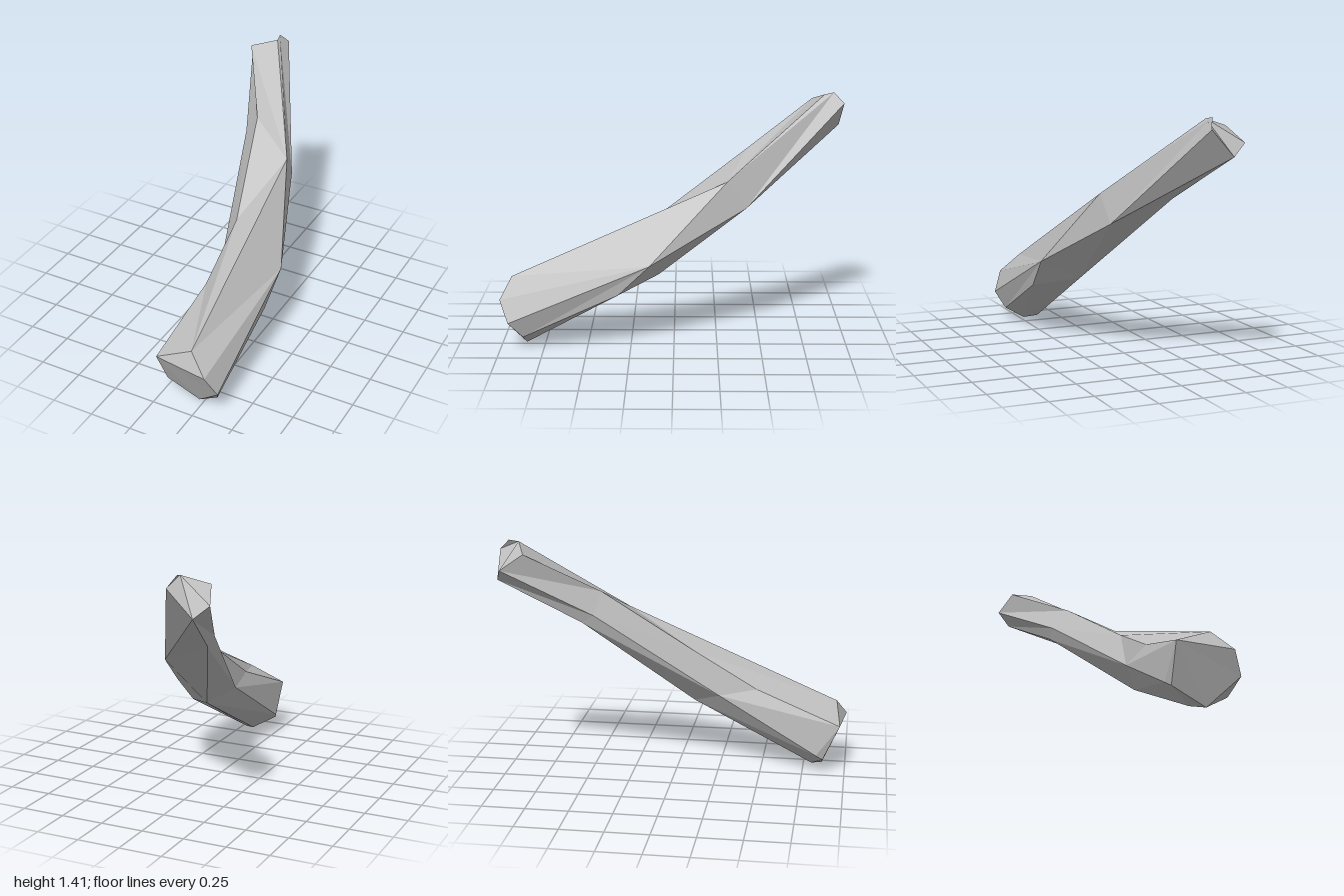
import * as THREE from 'three';

export function createModel() {
  const group = new THREE.Group();
  group.name = 'bentBranch';
  const material = new THREE.MeshStandardMaterial({ color: 0xbdbdbd, flatShading: true });
  material.name = 'pale grey';

  const p = (x, y, z) => new THREE.Vector3(x, y, z);

  // Corners of the thick near end
  const tipTop = p(0.22, 0.40, 0.94), faceLeft = p(0.01, 0.305, 0.967), faceRight = p(0.33, 0.29, 1);
  const faceSide = p(0.385, 0.165, 0.95), faceBottom = p(0.22, 0, 0.86), faceLow = p(0.02, 0.09, 0.87);
  const rimLeft = p(0, 0.12, 0.83), rimBottom = p(0.15, 0.02, 0.8), rimRight = p(0.34, 0.07, 0.87);

  // Corners along the bend
  const ridgeLow = p(0.053, 0.5, 0.47), ridgeMid = p(0.053, 0.72, 0.1), ridgeHigh = p(-0.088, 1.1, -0.43);
  const flank = p(0.023, 0.46, 0.25), belly = p(0.14, 0.39, 0.09), shoulder = p(0.174, 0.95, -0.305);
  const sideLow = p(0.35, 0.325, 0.32), sideMid = p(0.365, 0.5, 0.14), sideHigh = p(0.157, 0.79, -0.415);
  const neckUpper = p(-0.177, 0.975, -0.46), neckLower = p(-0.168, 0.93, -0.53);

  // Corners of the thin far end
  const endNotch = p(-0.185, 1.4, -0.885), endTop = p(-0.195, 1.41, -0.94), endRight = p(-0.163, 1.35, -1);
  const endFront = p(-0.335, 1.355, -0.825), endLeft = p(-0.387, 1.27, -0.95), endBottom = p(-0.305, 1.2, -0.985);

  // Eight-sided rings from near to far; a repeated corner narrows the ring
  const rings = [
    [faceLeft, faceLeft, faceLow, faceLow, faceBottom, faceBottom, faceSide, faceRight],
    [tipTop, faceLeft, rimLeft, rimBottom, faceBottom, rimRight, faceSide, faceRight],
    [tipTop, ridgeLow, flank, belly, belly, sideLow, sideMid, sideMid],
    [shoulder, ridgeMid, flank, belly, belly, sideMid, sideMid, sideMid],
    [shoulder, ridgeHigh, neckUpper, neckLower, sideHigh, sideHigh, sideHigh, shoulder],
    [endNotch, endFront, endLeft, endBottom, endBottom, endRight, endRight, endTop],
  ];

  const positions = [];
  const triangle = (a, b, c) => {
    if (a === b || b === c || c === a) return;
    for (const v of [a, b, c]) positions.push(v.x, v.y, v.z);
  };

  // Skin between neighbouring rings
  for (let i = 0; i < rings.length - 1; i++) {
    for (let j = 0; j < 8; j++) {
      const k = (j + 1) % 8;
      const a = rings[i][j], b = rings[i][k], c = rings[i + 1][k], d = rings[i + 1][j];
      triangle(a, d, c);
      triangle(a, c, b);
    }
  }

  // Cut ends
  const near = rings[0], far = rings[rings.length - 1];
  for (let j = 1; j < 7; j++) {
    triangle(near[0], near[j], near[j + 1]);
    triangle(far[0], far[j + 1], far[j]);
  }

  const geometry = new THREE.BufferGeometry();
  geometry.setAttribute('position', new THREE.Float32BufferAttribute(positions, 3));
  geometry.computeVertexNormals();
  const branch = new THREE.Mesh(geometry, material);
  branch.name = 'branch';
  group.add(branch);
  return group;
}
